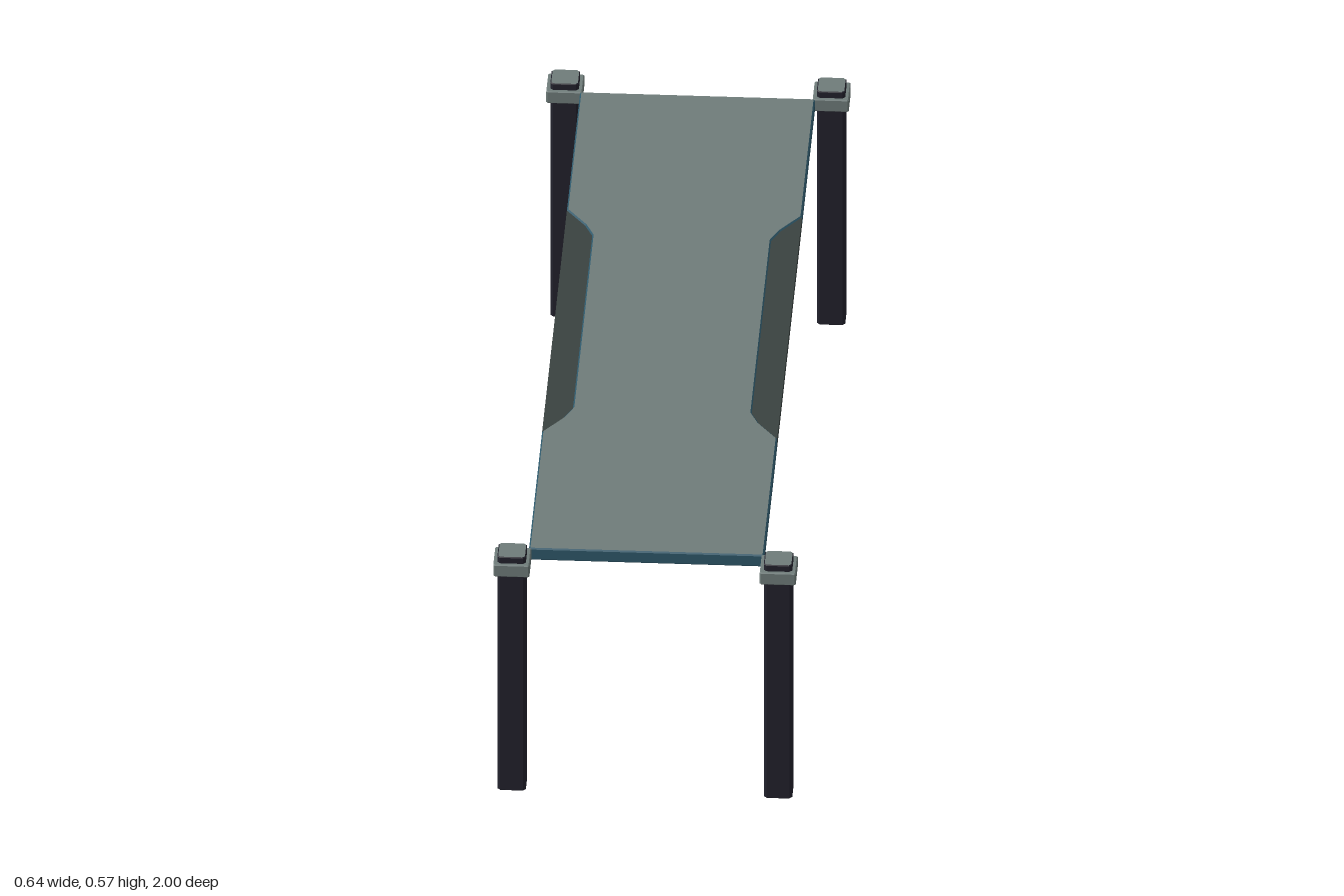
import * as THREE from 'three';

const grey = new THREE.MeshStandardMaterial({ color: 0x6f7c7a });
grey.name = 'greyMetal';
const blue = new THREE.MeshStandardMaterial({ color: 0x2e586a });
blue.name = 'blueEdge';
const dark = new THREE.MeshStandardMaterial({ color: 0x22212c });
dark.name = 'darkLeg';
const inset = new THREE.MeshStandardMaterial({ color: 0x3a4240 });
inset.name = 'darkInset';

// Upright prism from a plan outline of [x, z] points, with a small edge bevel
function prism(name, points, y0, y1, bevel, materials) {
  const shape = new THREE.Shape(points.map(([x, z]) => new THREE.Vector2(x, -z)));
  const geometry = new THREE.ExtrudeGeometry(shape, {
    depth: y1 - y0 - 2 * bevel,
    bevelEnabled: bevel > 0,
    bevelThickness: bevel,
    bevelSize: bevel,
    bevelOffset: -bevel,
    bevelSegments: 1,
  });
  geometry.rotateX(-Math.PI / 2);
  geometry.translate(0, y0 + bevel, 0);
  const mesh = new THREE.Mesh(geometry, materials);
  mesh.name = name;
  return mesh;
}

// Square outline of half size h with corners cut by c
function cutSquare(h, c) {
  const k = h - c;
  return [[h, -k], [h, k], [k, h], [-k, h], [-h, k], [-h, -k], [-k, -h], [k, -h]];
}

export function createModel() {
  const model = new THREE.Group();
  model.name = 'table';
  const W = 0.247, L = 0.928, N = 0.188;

  // Table top with a long notch in each side: grey faces, blue rim
  const notch = [[W, -0.45], [0.205, -0.39], [N, -0.35], [N, 0.35], [0.205, 0.39], [W, 0.45]];
  const mirrored = notch.map(([x, z]) => [-x, -z]);
  const outline = [[W, -L], ...notch, [W, L], [-W, L], ...mirrored, [-W, -L]];
  model.add(prism('tableTop', outline, 0.528, 0.557, 0.003, [grey, blue]));

  // Dark panels filling the notches, set just below the faces
  model.add(prism('leftInset', notch, 0.531, 0.554, 0, inset));
  model.add(prism('rightInset', mirrored, 0.531, 0.554, 0, inset));

  // Four chamfered legs with grey ends, each held by a collar
  for (const x of [-0.28, 0.28]) {
    for (const z of [-0.962, 0.962]) {
      const corner = new THREE.Group();
      corner.name = 'cornerPost';
      corner.add(prism('leg', cutSquare(0.03, 0.006), 0, 0.572, 0.002, [grey, dark]));
      corner.add(prism('collar', cutSquare(0.038, 0.003), 0.528, 0.557, 0.002, grey));
      corner.position.set(x, 0, z);
      model.add(corner);
    }
  }
  return model;
}
